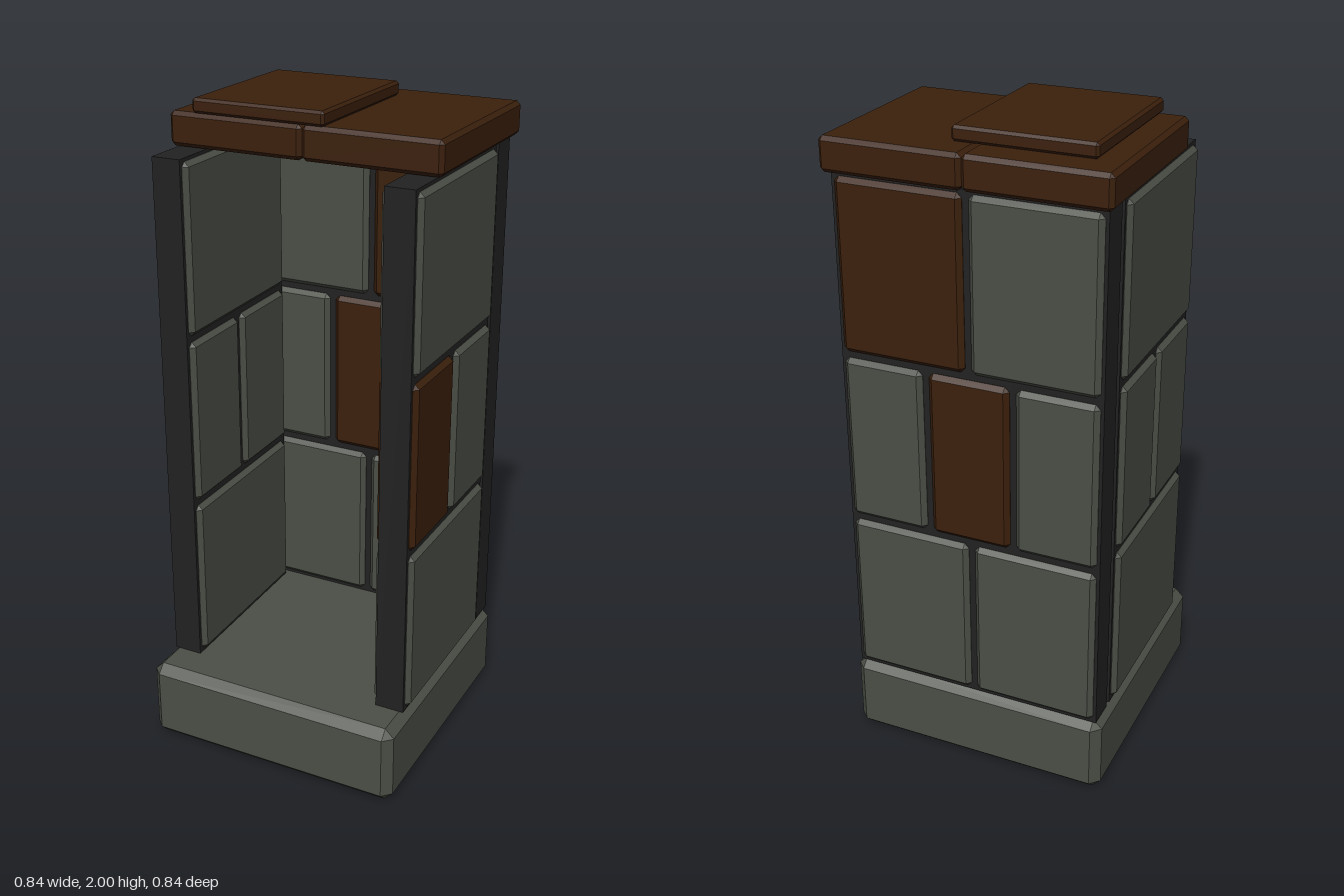
import * as THREE from 'three';
import { ConvexGeometry } from 'three/addons/geometries/ConvexGeometry.js';

const mat = (name, color) => {
  const m = new THREE.MeshStandardMaterial({ color });
  m.name = name;
  return m;
};

// Box between two corners with every edge chamfered by b
function chamferBox(min, max, b) {
  const size = max.map((v, i) => v - min[i]);
  const points = [];
  for (const sx of [-1, 1]) for (const sy of [-1, 1]) for (const sz of [-1, 1]) {
    for (let axis = 0; axis < 3; axis++) {
      const p = [sx, sy, sz].map((s, i) => s * (size[i] / 2 - (i === axis ? 0 : b)));
      points.push(new THREE.Vector3(...p));
    }
  }
  const geo = new ConvexGeometry(points);
  geo.translate(...min.map((v, i) => (v + max[i]) / 2));
  return geo;
}

function plainBox(min, max) {
  const geo = new THREE.BoxGeometry(...max.map((v, i) => v - min[i]));
  geo.translate(...min.map((v, i) => (v + max[i]) / 2));
  return geo;
}

export function createModel() {
  const stone = mat('grey stone', 0x4b4f46);
  const brown = mat('brown stone', 0x3c200c);
  const mortar = mat('dark mortar', 0x222222);

  const model = new THREE.Group();
  model.name = 'stoneAlcove';
  const add = (parent, name, geo, material) => {
    const mesh = new THREE.Mesh(geo, material);
    mesh.name = name;
    parent.add(mesh);
  };
  const wall = (name) => {
    const g = new THREE.Group();
    g.name = name;
    model.add(g);
    return g;
  };

  const y0 = 0.255, y1 = 1.855, rowH = (y1 - y0) / 3, gap = 0.01, bevel = 0.014;

  // Plinth
  add(model, 'base', chamferBox([-0.415, 0, -0.405], [0.415, y0, 0.42], 0.028), stone);

  // Side walls: mortar core with stones passing right through it
  const zBack = -0.28, zFront = 0.295;
  for (const side of [-1, 1]) {
    const g = wall(side > 0 ? 'leftWall' : 'rightWall');
    const xs = (a, b) => (side > 0 ? [a, b] : [-b, -a]);
    const [c0, c1] = xs(0.31, 0.4);
    const [s0, s1] = xs(0.295, 0.415);
    add(g, 'mortarCore', plainBox([c0, y0, zBack], [c1, y1, zFront]), mortar);
    [1, 2, 1].forEach((count, row) => {
      const w = (zFront - zBack) / count;
      for (let i = 0; i < count; i++) {
        const z = zBack + i * w, y = y0 + row * rowH;
        const isBrown = side > 0 && row === 1 && i === 1;
        add(g, 'wallStone', chamferBox([s0, y + gap, z + gap], [s1, y + rowH - gap, z + w - gap], bevel),
          isBrown ? brown : stone);
      }
    });
  }

  // Back wall
  const back = wall('backWall');
  add(back, 'mortarCore', plainBox([-0.4, y0, -0.39], [0.4, y1, -0.3]), mortar);
  [2, 3, 2].forEach((count, row) => {
    const w = 0.8 / count;
    for (let i = 0; i < count; i++) {
      const x = -0.4 + i * w, y = y0 + row * rowH;
      const isBrown = row > 0 && i === 1;
      add(back, 'wallStone', chamferBox([x + gap, y + gap, -0.405], [x + w - gap, y + rowH - gap, -0.285], bevel),
        isBrown ? brown : stone);
    }
  });

  // Roof slabs
  add(model, 'roofSlabRight', chamferBox([-0.42, 1.857, -0.422], [0, 1.957, 0.17], 0.012), brown);
  add(model, 'roofSlabLeft', chamferBox([0, 1.857, -0.422], [0.42, 1.957, 0.17], 0.012), brown);
  add(model, 'topSlab', chamferBox([-0.342, 1.957, -0.326], [0.072, 2, 0.172], 0.008), brown);

  return model;
}
